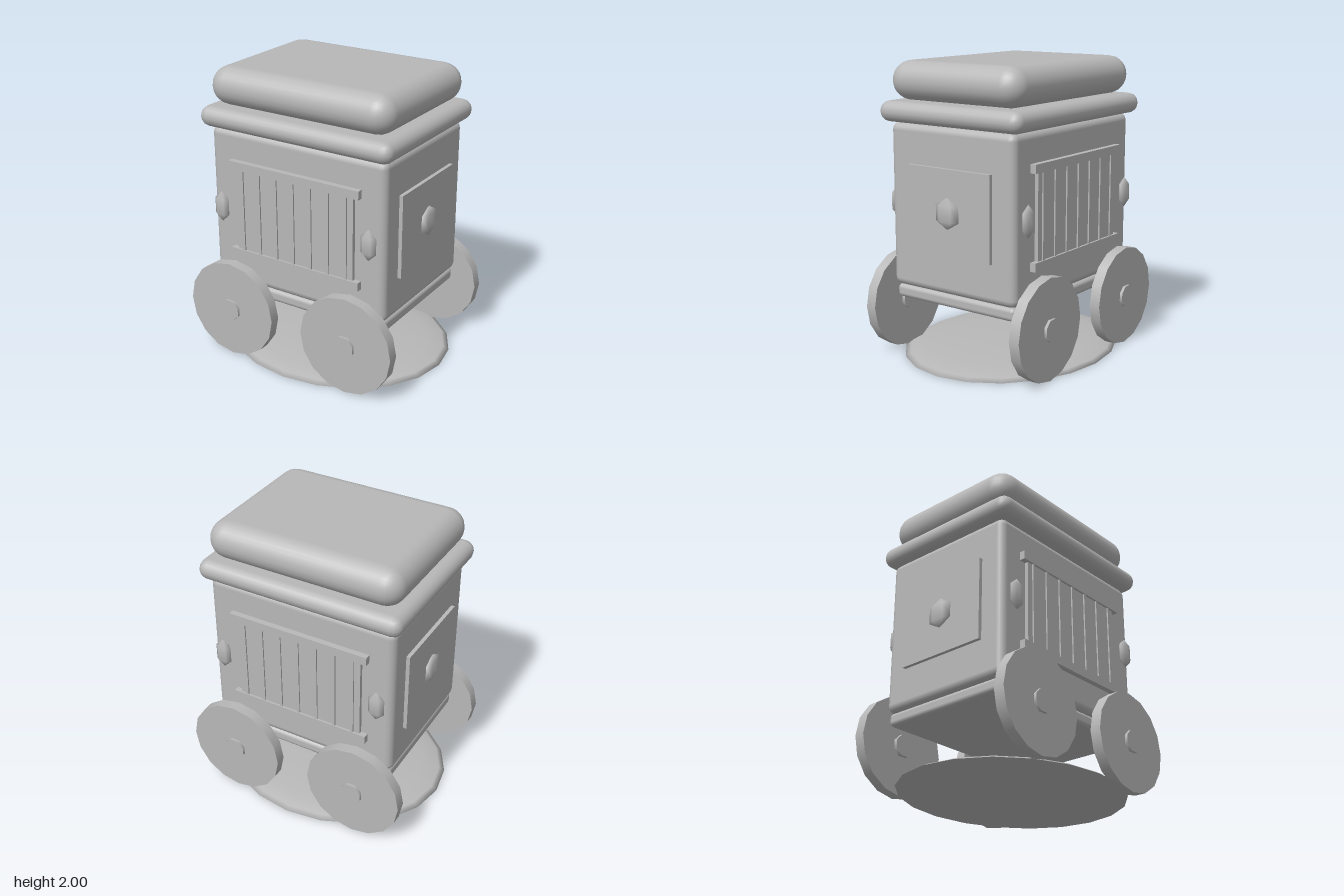
import * as THREE from 'three';
import { RoundedBoxGeometry } from 'three/addons/geometries/RoundedBoxGeometry.js';

export function createModel() {
  const model = new THREE.Group();
  const cart = new THREE.Group();
  cart.name = 'cart';
  cart.position.x = -0.013;
  model.add(cart);

  const grey = new THREE.MeshStandardMaterial({ color: 0xb8b8b8 });
  grey.name = 'plain grey';

  const add = (name, geometry, x, y, z, parent = cart) => {
    const mesh = new THREE.Mesh(geometry, grey);
    mesh.name = name;
    mesh.position.set(x, y, z);
    parent.add(mesh);
    return mesh;
  };
  const slab = (name, w, d, y0, y1, radius, segments) =>
    add(name, new RoundedBoxGeometry(w, y1 - y0, d, segments, radius), 0, (y0 + y1) / 2, 0);
  const box = (name, w, h, d, x, y, z, parent) =>
    add(name, new THREE.BoxGeometry(w, h, d), x, y, z, parent);

  // Stacked rounded body
  slab('floor', 1.31, 0.98, 0.41, 0.5, 0.03, 2);
  slab('body', 1.345, 1.01, 0.5, 1.6, 0.05, 2);
  slab('roofTrim', 1.455, 1.147, 1.6, 1.74, 0.069, 2);
  slab('roof', 1.375, 1.055, 1.74, 2.0, 0.129, 3);

  // Faceted gem studs
  const gem = (name, rx, ry, rz, x, y, z, parent) => {
    const g = new THREE.SphereGeometry(1, 6, 3).scale(rx, ry, rz);
    return add(name, g, x, y, z, parent);
  };

  // Barred window, two studs and two wheels on the front and back
  for (const s of [1, -1]) {
    const side = new THREE.Group();
    side.name = s > 0 ? 'frontSide' : 'backSide';
    side.rotation.y = s > 0 ? 0 : Math.PI;
    cart.add(side);

    box('windowPanel', 0.91, 0.57, 0.04, 0, 1.055, 0.51, side);
    for (const y of [0.743, 1.37]) box('windowRail', 1.005, 0.058, 0.05, 0, y, 0.52, side);
    for (let i = -3; i <= 3; i++) {
      box('windowBar', 0.019, 0.57, 0.04, i * 0.134, 1.055, 0.52, side);
    }
    for (const m of [1, -1]) {
      gem('cornerStud', 0.066, 0.107, 0.033, m * 0.575, 1.055, 0.54, side);
      const wheel = new THREE.CylinderGeometry(0.343, 0.343, 0.075, 16).rotateX(Math.PI / 2);
      add('wheel', wheel, m * 0.46, 0.345, 0.598, side);
      const hub = new THREE.CylinderGeometry(0.077, 0.077, 0.12, 8)
        .rotateY(Math.PI / 8).rotateX(Math.PI / 2);
      add('wheelHub', hub, m * 0.46, 0.345, 0.595, side);
    }
  }

  // Plain panel with a stud on the left and right
  for (const s of [1, -1]) {
    box('endPanel', 0.04, 0.57, 0.67, s * 0.678, 1.055, 0);
    const stud = gem('endStud', 0.107, 0.105, 0.032, s * 0.705, 1.055, 0);
    stud.rotation.y = Math.PI / 2;
  }

  // Low mound beneath the cart, with a flat underside
  const dome = new THREE.SphereGeometry(1, 20, 5, 0, Math.PI * 2, 0, Math.PI / 2);
  add('groundMound', dome.scale(0.815, 0.065, 0.7), 0, 0.001, 0, model);
  const base = new THREE.CircleGeometry(1, 20).rotateX(Math.PI / 2);
  add('groundMoundBase', base.scale(0.815, 1, 0.7), 0, 0.001, 0, model);

  return model;
}
